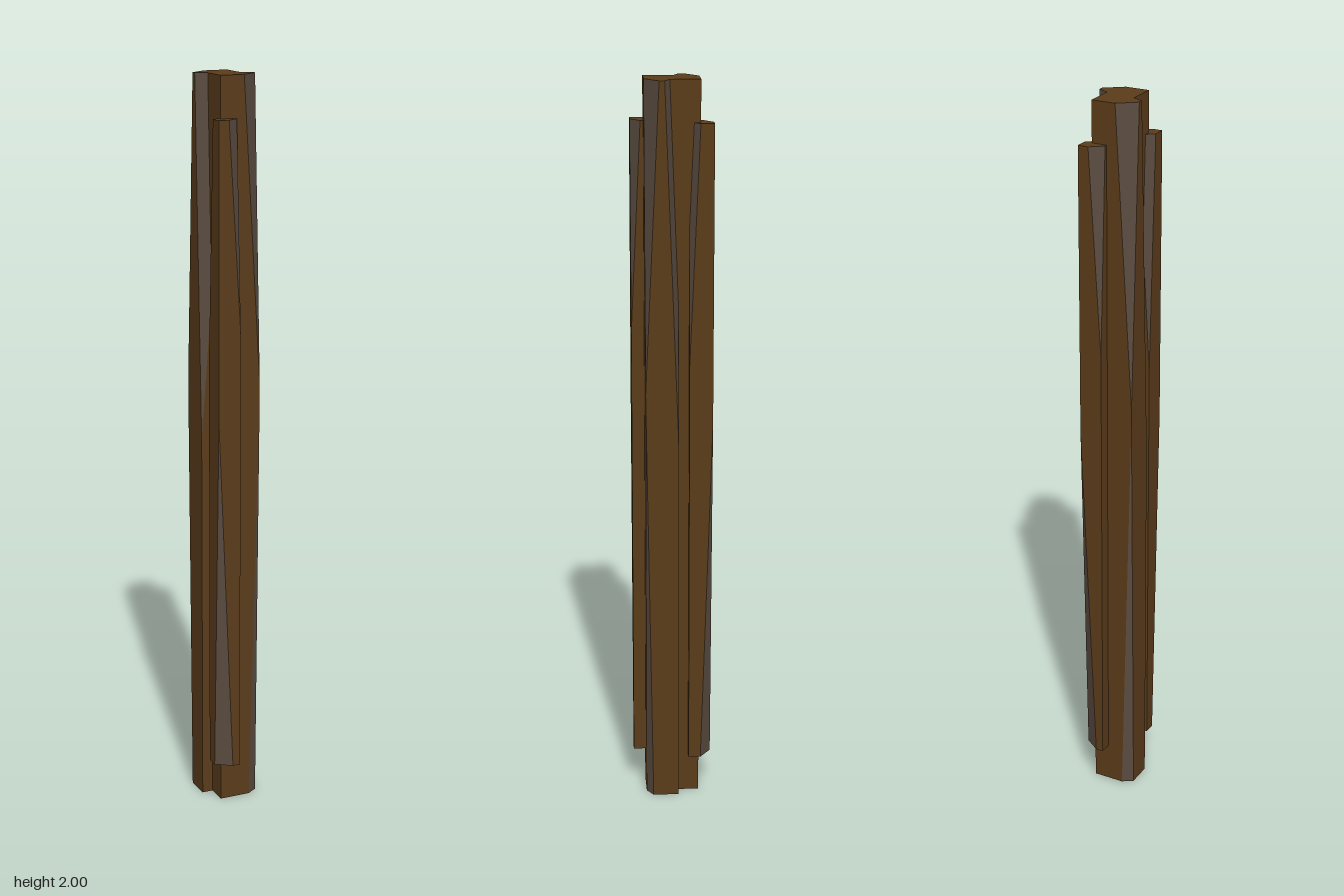
import * as THREE from 'three';
import { ConvexGeometry } from 'three/addons/geometries/ConvexGeometry.js';

const wood = new THREE.MeshStandardMaterial({ color: 0x5a3c1a, flatShading: true });
const cutWood = new THREE.MeshStandardMaterial({ color: 0x5a4b40, flatShading: true });

// Square post whose vertical edges are shaved: each chip starts at a point
// (tip height) on the edge and widens to dx, dz at the top or bottom end.
function shavedPost(name, [x0, x1], [y0, y1], [z0, z1], chips) {
  const points = [];
  for (const sx of [-1, 1]) for (const sz of [-1, 1]) for (const end of [-1, 1]) {
    const x = sx < 0 ? x0 : x1, z = sz < 0 ? z0 : z1, y = end < 0 ? y0 : y1;
    const chip = chips.find(c => c.sx === sx && c.sz === sz && c.end === end);
    if (chip) {
      points.push(
        new THREE.Vector3(x, chip.tip, z),
        new THREE.Vector3(x - sx * chip.dx, y, z),
        new THREE.Vector3(x, y, z - sz * chip.dz));
    } else points.push(new THREE.Vector3(x, y, z));
  }
  const hull = new ConvexGeometry(points);
  const pos = hull.attributes.position, nor = hull.attributes.normal;

  // Upright and level faces are bark-brown, slanted ones are cut wood
  const faces = { body: [], cut: [] };
  for (let i = 0; i < pos.count; i += 3) {
    const n = new THREE.Vector3().fromBufferAttribute(nor, i);
    const straight = Math.max(Math.abs(n.x), Math.abs(n.y), Math.abs(n.z)) > 0.9999;
    const list = straight ? faces.body : faces.cut;
    for (let k = i; k < i + 3; k++) list.push(pos.getX(k), pos.getY(k), pos.getZ(k));
  }
  const post = new THREE.Group();
  post.name = name;
  for (const [part, material] of [['body', wood], ['cut', cutWood]]) {
    const g = new THREE.BufferGeometry();
    g.setAttribute('position', new THREE.Float32BufferAttribute(faces[part], 3));
    g.computeVertexNormals();
    const mesh = new THREE.Mesh(g, material);
    mesh.name = part === 'body' ? 'postBody' : 'shavedEdges';
    post.add(mesh);
  }
  return post;
}

// One thick full-height post with a thinner, shorter one in front of it
function halfBundle(name) {
  const half = new THREE.Group();
  half.name = name;
  half.add(shavedPost('mainPost', [-0.042, 0.072], [0, 2], [-0.015, 0.073], [
    { sx: 1, sz: 1, end: 1, dx: 0.048, dz: 0.037, tip: 1.18 },
    { sx: 1, sz: 1, end: -1, dx: 0.028, dz: 0.018, tip: 1.15 },
    { sx: 1, sz: -1, end: 1, dx: 0.074, dz: 0.037, tip: 1.03 },
  ]));
  half.add(shavedPost('thinPost', [-0.063, 0], [0.11, 1.89], [0.044, 0.107], [
    { sx: 1, sz: 1, end: 1, dx: 0.034, dz: 0.026, tip: 1.33 },
    { sx: -1, sz: -1, end: 1, dx: 0.037, dz: 0.027, tip: 1.25 },
    { sx: -1, sz: 1, end: -1, dx: 0.042, dz: 0.03, tip: 1.1 },
  ]));
  return half;
}

export function createModel() {
  const model = new THREE.Group();
  model.name = 'woodenPillar';
  const front = halfBundle('frontHalf');
  // The back half is the front half turned half way round
  const back = halfBundle('backHalf');
  back.rotation.y = Math.PI;
  model.add(front, back);
  return model;
}
